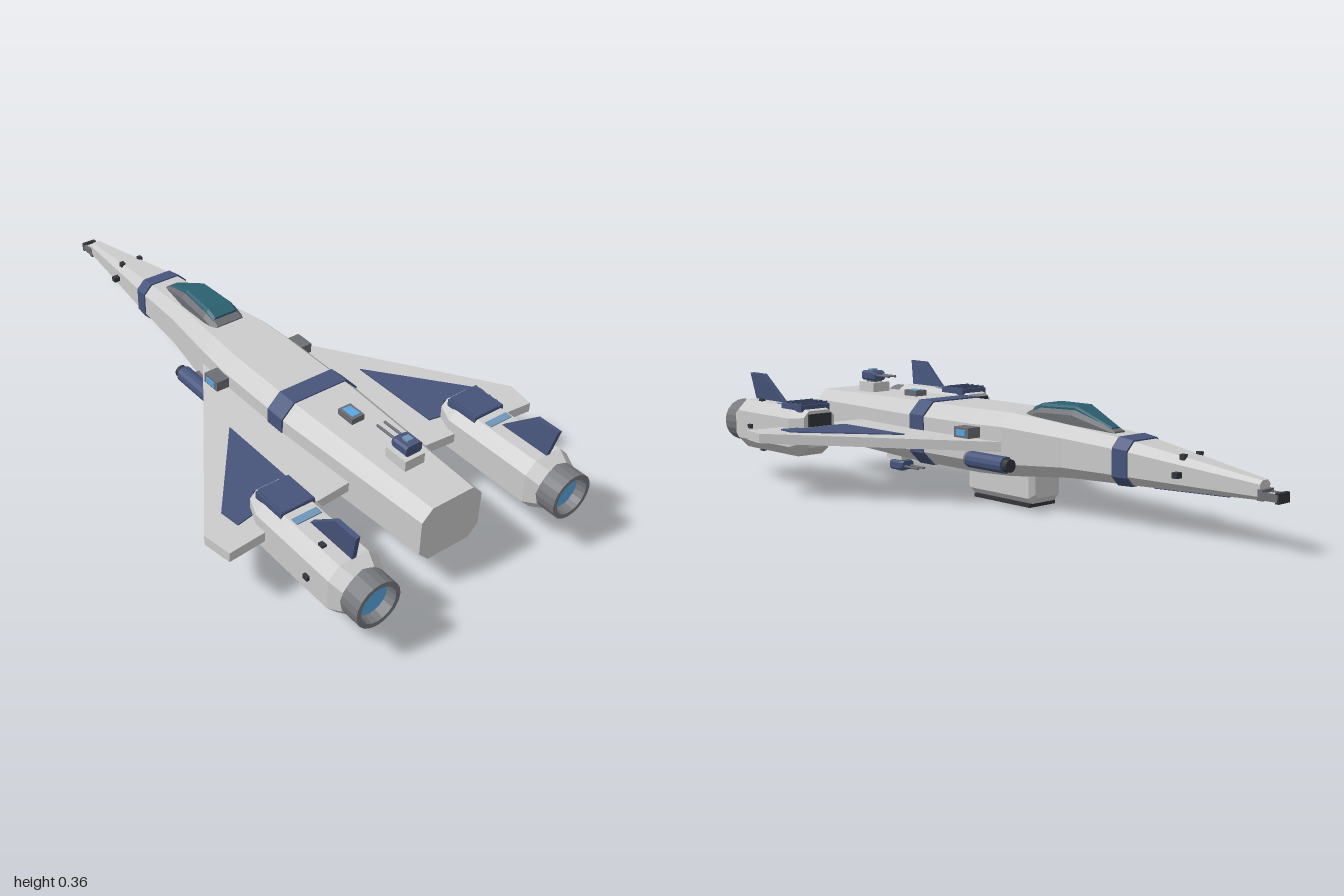
import * as THREE from 'three';

const mat = (color, extra = {}) => new THREE.MeshStandardMaterial({ color, flatShading: true, ...extra });
const GREY = mat(0xcccccc), DARK = mat(0x6c6e73), BLUE = mat(0x47557c), GLOW = mat(0x58a6e2);
const TEAL = mat(0x2c6070), LIGHT = mat(0x6f95b8), BLACK = mat(0x34363c);
const OPEN = mat(0x77797d, { side: THREE.DoubleSide });

function add(group, name, geometry, material, x = 0, y = 0, z = 0) {
  const mesh = new THREE.Mesh(geometry, material);
  mesh.name = name;
  mesh.position.set(x, y, z);
  group.add(mesh);
  return mesh;
}
const box = (g, name, m, w, h, d, x, y, z) => add(g, name, new THREE.BoxGeometry(w, h, d), m, x, y, z);

// Lofts chamfered rectangles: [z, halfWidth, bottom, top, topChamfer, bottomChamfer]
function loft(sections) {
  const rings = sections.map(([z, w, b, t, c, d = c]) => [
    [w, b + d, z], [w, t - c, z], [w - c, t, z], [c - w, t, z],
    [-w, t - c, z], [-w, b + d, z], [d - w, b, z], [w - d, b, z]]);
  const pos = [];
  const tri = (...p) => p.forEach((v) => pos.push(...v));
  for (let s = 0; s < rings.length - 1; s++) {
    const a = rings[s], b = rings[s + 1];
    for (let i = 0; i < 8; i++) {
      const j = (i + 1) % 8;
      tri(a[i], a[j], b[j]);
      tri(a[i], b[j], b[i]);
    }
  }
  const first = rings[0], last = rings[rings.length - 1];
  for (let i = 1; i < 7; i++) {
    tri(first[0], first[i + 1], first[i]);
    tri(last[0], last[i], last[i + 1]);
  }
  const g = new THREE.BufferGeometry();
  g.setAttribute('position', new THREE.Float32BufferAttribute(pos, 3));
  g.computeVertexNormals();
  return g;
}

// Horizontal plate from [x, z] corners, centred on height y
function plate(points, side, thickness, y) {
  const shape = new THREE.Shape(points.map(([x, z]) => new THREE.Vector2(x * side, z)));
  const g = new THREE.ExtrudeGeometry(shape, { depth: thickness, bevelEnabled: false });
  return g.rotateX(Math.PI / 2).translate(0, y + thickness / 2, 0);
}

const HULL = [
  [-0.94, 0.022, 0.135, 0.187, 0.01],
  [-0.5, 0.077, 0.122, 0.25, 0.028],
  [-0.3, 0.092, 0.115, 0.268, 0.034],
  [-0.08, 0.124, 0.095, 0.287, 0.04],
  [0.05, 0.133, 0.09, 0.287, 0.042],
  [0.35, 0.133, 0.09, 0.287, 0.042],
  [0.89, 0.105, 0.105, 0.28, 0.034],
];

// Hull cross-section at z, grown outward by e
function hullAt(z, e) {
  let i = 0;
  while (i < HULL.length - 2 && HULL[i + 1][0] < z) i++;
  const a = HULL[i], b = HULL[i + 1], t = (z - a[0]) / (b[0] - a[0]);
  const [, w, lo, hi, c] = a.map((v, k) => v + (b[k] - v) * t);
  return [z, w + e, lo - e, hi + e, c];
}

function buildTurret(name, y, z, flip) {
  const g = new THREE.Group();
  g.name = name;
  box(g, 'turretBase', GREY, 0.068, 0.034, 0.08, 0, 0.013, 0);
  box(g, 'turretNeck', DARK, 0.035, 0.01, 0.04, 0, 0.034, 0);
  add(g, 'turretHead', loft([[-0.032, 0.022, 0.036, 0.06, 0.006], [-0.02, 0.028, 0.036, 0.068, 0.006],
    [0.032, 0.028, 0.036, 0.068, 0.006]]), BLUE);
  box(g, 'turretLight', LIGHT, 0.022, 0.008, 0.022, 0, 0.07, 0.005);
  for (const x of [-0.013, 0.013]) {
    add(g, 'turretBarrel', new THREE.CylinderGeometry(0.004, 0.004, 0.08, 8).rotateX(Math.PI / 2), DARK, x, 0.054, -0.062);
  }
  g.position.set(0, y, z);
  if (flip) g.rotation.z = Math.PI;
  return g;
}

function buildEngine(side) {
  const g = new THREE.Group();
  g.name = side > 0 ? 'leftEngine' : 'rightEngine';
  add(g, 'nacelle', loft([[0.545, 0.058, 0.14, 0.258, 0.02], [0.6, 0.08, 0.107, 0.267, 0.034],
    [0.9, 0.08, 0.107, 0.267, 0.034], [0.94, 0.066, 0.12, 0.252, 0.034]]), GREY);
  box(g, 'intake', BLACK, 0.085, 0.04, 0.012, 0, 0.228, 0.543);
  // Stepped vent on top of the nacelle
  box(g, 'ventBase', BLUE, 0.11, 0.022, 0.11, 0, 0.264, 0.62);
  for (let i = 0; i < 4; i++) {
    const slat = box(g, 'ventSlat', BLUE, 0.1, 0.006, 0.024, 0, 0.277, 0.58 + i * 0.027);
    slat.rotation.x = 0.25;
  }
  box(g, 'topLight', LIGHT, 0.08, 0.006, 0.024, 0, 0.267, 0.712);
  // Nozzle with recessed glowing disc
  const profile = [[0.064, 0.92], [0.07, 0.94], [0.07, 1], [0.056, 1], [0.052, 0.965]];
  const nozzle = new THREE.LatheGeometry(profile.map(([r, h]) => new THREE.Vector2(r, h)), 20);
  add(g, 'nozzle', nozzle.rotateX(Math.PI / 2), OPEN, 0, 0.187, 0);
  add(g, 'exhaustGlow', new THREE.CircleGeometry(0.055, 20), GLOW, 0, 0.187, 0.97);
  // Swept fin, leaning slightly outward
  const finShape = new THREE.Shape([[-0.73, 0], [-0.84, 0.09], [-0.92, 0.09], [-0.9, 0]].map((p) => new THREE.Vector2(...p)));
  const fin = new THREE.ExtrudeGeometry(finShape, { depth: 0.014, bevelEnabled: false });
  fin.translate(0, 0, -0.007).rotateY(Math.PI / 2);
  add(g, 'fin', fin, BLUE, 0, 0.264, 0).rotation.z = -side * 0.1;
  // Small thrusters
  const out = side * 0.082;
  for (const [x, y] of [[out, 0.187], [side * 0.036, 0.267], [side * 0.036, 0.107]]) {
    box(g, 'thruster', BLACK, 0.014, 0.014, 0.018, x, y, 0.82);
  }
  g.position.x = side * 0.34;
  return g;
}

export function createModel() {
  const model = new THREE.Group();
  model.name = 'spaceFighter';

  // Fuselage and its painted bands
  add(model, 'fuselage', loft(HULL), GREY);
  for (const [z0, z1] of [[-0.535, -0.485], [0.27, 0.337]]) {
    add(model, 'hullBand', loft([hullAt(z0, 0.004), hullAt(z1, 0.004)]), BLUE);
  }
  const chin = (z, w) => { const b = hullAt(z, 0)[2]; return [z, w, b - 0.003, b + 0.008, 0.001]; };
  add(model, 'chinPanel', loft([chin(-0.84, 0.018), chin(-0.6, 0.036)]), BLUE);

  // Cockpit
  add(model, 'canopyFrame', loft([[-0.44, 0.024, 0.22, 0.26, 0.005, 0], [-0.3, 0.052, 0.23, 0.318, 0.022, 0],
    [-0.17, 0.06, 0.24, 0.316, 0.022, 0], [-0.112, 0.058, 0.24, 0.288, 0.012, 0]]), DARK);
  add(model, 'canopyGlass', loft([[-0.425, 0.017, 0.24, 0.27, 0.003, 0], [-0.3, 0.038, 0.25, 0.322, 0.006, 0],
    [-0.17, 0.047, 0.25, 0.32, 0.008, 0], [-0.135, 0.046, 0.25, 0.306, 0.008, 0]]), TEAL);

  // Forked nose tip
  box(model, 'noseCollar', DARK, 0.048, 0.03, 0.016, 0, 0.15, -0.942);
  box(model, 'noseSensor', GREY, 0.024, 0.014, 0.05, 0, 0.148, -0.965);
  for (const s of [-1, 1]) box(model, 'noseProng', DARK, 0.01, 0.02, 0.06, s * 0.019, 0.148, -0.965);
  box(model, 'noseBar', BLACK, 0.048, 0.028, 0.012, 0, 0.148, -0.994);

  // Belly pod
  add(model, 'bellyPod', loft([[-0.15, 0.05, 0.03, 0.11, 0, 0.012], [-0.135, 0.064, 0.012, 0.11, 0, 0.018],
    [0.125, 0.064, 0.012, 0.11, 0, 0.018], [0.14, 0.056, 0.018, 0.11, 0, 0.016]]), GREY);
  box(model, 'bellyPlate', BLACK, 0.108, 0.012, 0.25, 0, 0.006, -0.005);

  // Dorsal sensor
  box(model, 'sensorHousing', DARK, 0.044, 0.024, 0.062, 0, 0.292, 0.475);
  box(model, 'sensorWindow', GLOW, 0.028, 0.005, 0.044, 0, 0.303, 0.475);

  model.add(buildTurret('topTurret', 0.285, 0.7, false));
  model.add(buildTurret('bottomTurret', 0.095, 0.55, true));

  for (const s of [1, -1]) {
    // Wing with raised painted panel above and below
    add(model, 'wing', plate([[0.09, -0.13], [0.555, 0.56], [0.54, 0.652], [0.1, 0.615]], s, 0.03, 0.187), GREY);
    add(model, 'wingPanel', plate([[0.243, 0.23], [0.47, 0.515], [0.462, 0.58], [0.243, 0.54]], s, 0.038, 0.187), BLUE);
    model.add(buildEngine(s));

    // Cannon under the wing root
    add(model, 'cannon', new THREE.CylinderGeometry(0.026, 0.026, 0.155, 12).rotateX(Math.PI / 2), BLUE, s * 0.157, 0.143, -0.06);
    add(model, 'cannonMuzzle', new THREE.CylinderGeometry(0.02, 0.02, 0.02, 12).rotateX(Math.PI / 2), BLACK, s * 0.157, 0.143, -0.147);
    add(model, 'cannonCap', new THREE.CylinderGeometry(0.022, 0.022, 0.02, 12).rotateX(Math.PI / 2), DARK, s * 0.157, 0.143, 0.02);
    box(model, 'cannonMount', DARK, 0.05, 0.025, 0.1, s * 0.13, 0.143, -0.06);

    // Side sensor
    box(model, 'sideSensor', DARK, 0.06, 0.032, 0.065, s * 0.147, 0.223, 0.04);
    box(model, 'sideWindow', GLOW, 0.006, 0.018, 0.04, s * 0.177, 0.223, 0.04);

    // Nose thrusters
    box(model, 'noseThruster', BLACK, 0.03, 0.016, 0.018, s * 0.058, 0.175, -0.7);
    box(model, 'noseTopThruster', BLACK, 0.014, 0.016, 0.016, s * 0.034, 0.221, -0.7);
  }
  return model;
}
